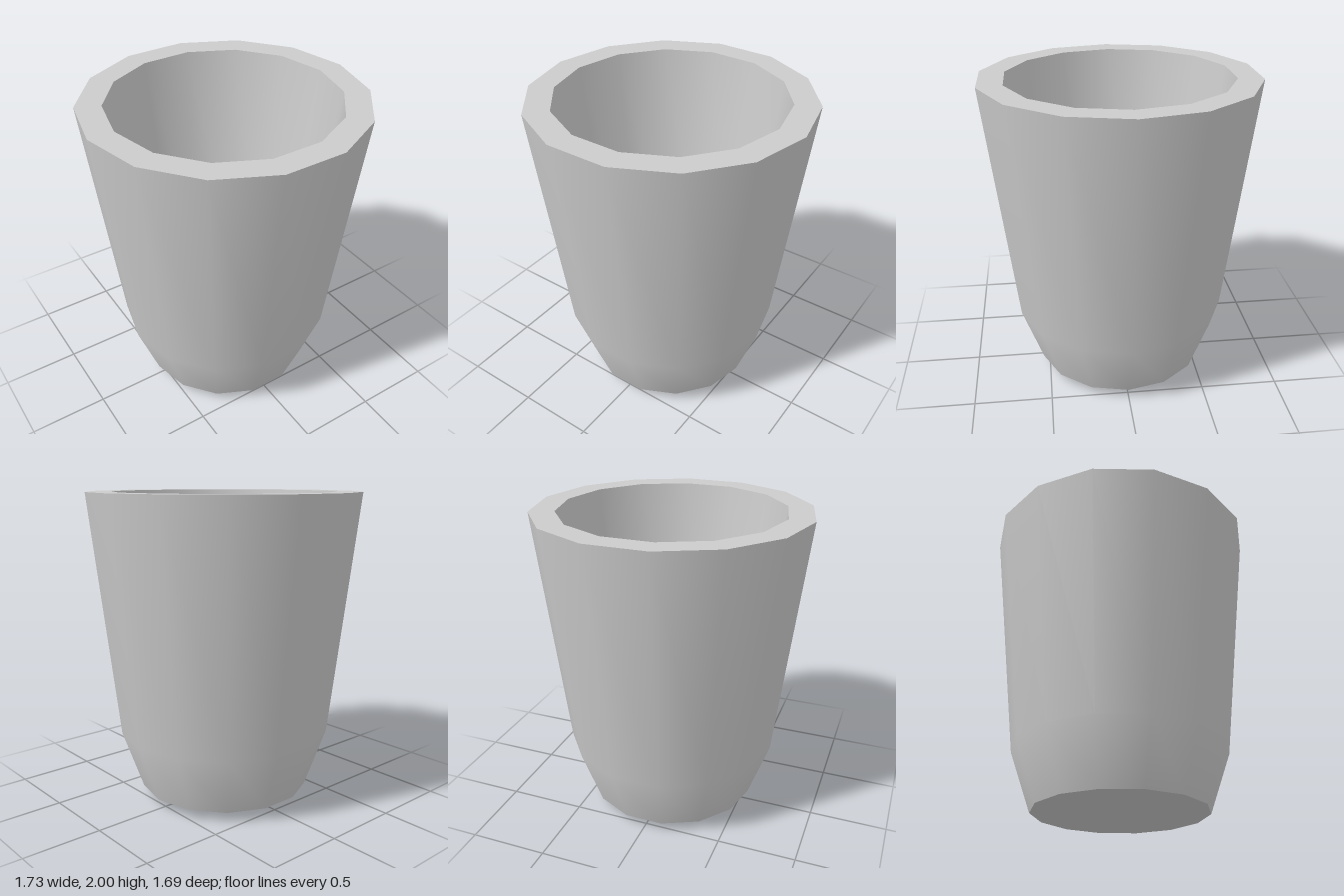
import * as THREE from 'three';

const SIDES = 14;

// Each section is its own lathe: smooth within, sharp edge against the next.
const SECTIONS = {
  base: [[0, 0], [0.16, 0], [0.555, 0.065]],
  outerWall: [[0.555, 0.065], [0.69, 0.45], [0.867, 2]],
  rim: [[0.867, 2], [0.708, 2]],
  innerWall: [[0.708, 2], [0.53, 0.48], [0.455, 0.23]],
  innerFloor: [[0.455, 0.23], [0.14, 0.17], [0, 0.17]],
};

export function createModel() {
  const cup = new THREE.Group();
  cup.name = 'cup';
  const material = new THREE.MeshStandardMaterial({ color: 0xcccccc });

  for (const [name, profile] of Object.entries(SECTIONS)) {
    const points = profile.map(([r, y]) => new THREE.Vector2(r, y));
    // Start on the x axis so that a corner points to each side
    const geometry = new THREE.LatheGeometry(points, SIDES, Math.PI / 2);
    const mesh = new THREE.Mesh(geometry, material);
    mesh.name = name;
    cup.add(mesh);
  }
  return cup;
}
